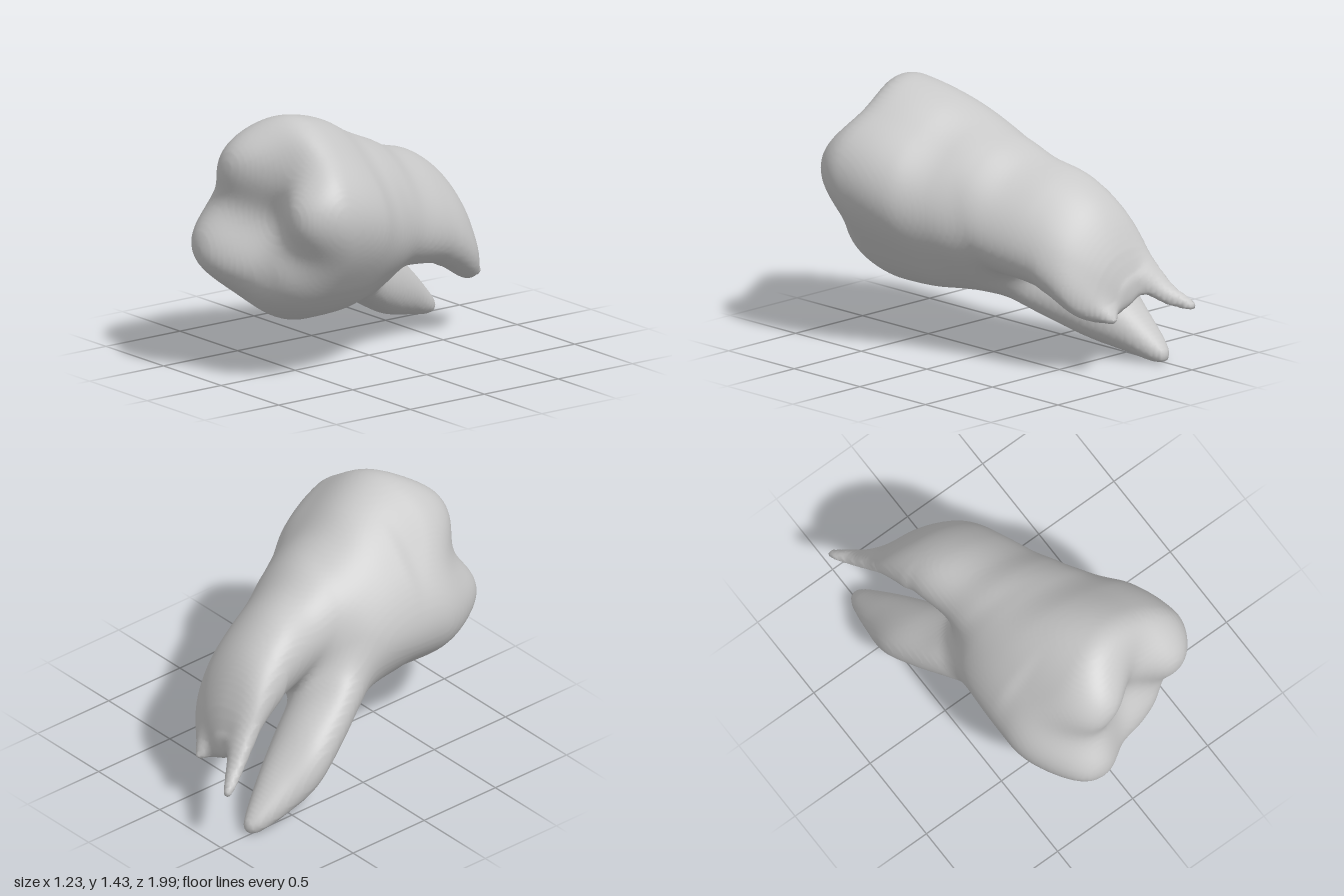
import * as THREE from 'three';

const STEP = 0.02;

// Cross-sections along z: [z, centre x, centre y, half-size a, half-size b]
const crownRows = [
  [1.1, 0.03, 0.865, 0.53, 0.45], [0.9, 0.04, 0.87, 0.545, 0.47], [0.6, 0.05, 0.875, 0.545, 0.48],
  [0.3, 0.015, 0.835, 0.48, 0.465], [0.1, -0.04, 0.775, 0.39, 0.4], [-0.05, -0.07, 0.71, 0.3, 0.31],
  [-0.2, -0.1, 0.67, 0.16, 0.16], [-0.3, -0.12, 0.68, 0.03, 0.03],
];
const broadRootRows = [
  [0.4, 0, 0.86, 0.42, 0.4], [0.1, -0.01, 0.85, 0.395, 0.36], [-0.05, -0.025, 0.835, 0.37, 0.31],
  [-0.2, -0.05, 0.795, 0.35, 0.26], [-0.4, -0.1, 0.745, 0.34, 0.235],
  [-0.55, -0.13, 0.67, 0.32, 0.215], [-0.65, -0.16, 0.59, 0.28, 0.19], [-0.74, -0.21, 0.49, 0.19, 0.14],
  [-0.785, -0.25, 0.44, 0.08, 0.06],
];
const shortTipRows = [
  [-0.5, 0, 0.57, 0.11, 0.11], [-0.65, -0.03, 0.45, 0.11, 0.11], [-0.75, -0.08, 0.37, 0.07, 0.065],
  [-0.8, -0.1, 0.33, 0.04, 0.035], [-0.825, -0.1, 0.315, 0.012, 0.012],
];
const longTipRows = [
  [-0.5, -0.29, 0.75, 0.1, 0.12], [-0.65, -0.33, 0.65, 0.1, 0.12], [-0.75, -0.38, 0.53, 0.085, 0.1],
  [-0.87, -0.45, 0.41, 0.058, 0.055], [-0.95, -0.505, 0.365, 0.038, 0.034], [-0.99, -0.53, 0.345, 0.022, 0.02],
];
const lowerRootRows = [
  [0.35, -0.11, 0.66, 0.28, 0.25], [0.15, -0.15, 0.61, 0.29, 0.25], [0, -0.23, 0.53, 0.28, 0.23],
  [-0.2, -0.34, 0.395, 0.25, 0.2], [-0.4, -0.42, 0.28, 0.21, 0.19], [-0.6, -0.46, 0.165, 0.13, 0.135],
  [-0.75, -0.485, 0.075, 0.07, 0.072], [-0.8, -0.49, 0.05, 0.038, 0.038], [-0.815, -0.49, 0.045, 0.015, 0.015],
];

// Smoothly interpolated cross-section at z (rows run from high z to low z)
function sectionAt(rows, z) {
  const last = rows.length - 1;
  const zc = Math.min(rows[0][0], Math.max(rows[last][0], z));
  let i = 0;
  while (i < last - 1 && zc < rows[i + 1][0]) i++;
  const slope = (j, k) => {
    const p = rows[Math.max(j - 1, 0)], q = rows[Math.min(j + 1, last)];
    return (q[k] - p[k]) / (q[0] - p[0]);
  };
  const A = rows[i], B = rows[i + 1], h = B[0] - A[0], t = (zc - A[0]) / h;
  const t2 = t * t, t3 = t2 * t;
  const val = (k) => (2 * t3 - 3 * t2 + 1) * A[k] + (t3 - 2 * t2 + t) * h * slope(i, k)
    + (3 * t2 - 2 * t3) * B[k] + (t3 - t2) * h * slope(i + 1, k);
  return { x: val(1), y: val(2), a: Math.max(val(3), 0.008), b: Math.max(val(4), 0.008), dz: Math.abs(z - zc) };
}

// A limb returns, for each z, a signed distance-like function of x and y
function limb(rows, degrees, power) {
  const c = Math.cos(degrees * Math.PI / 180), s = Math.sin(degrees * Math.PI / 180);
  return (z) => {
    const o = sectionAt(rows, z), m = Math.min(o.a, o.b);
    return (x, y) => {
      const dx = x - o.x, dy = y - o.y;
      const u = Math.abs(dx * c + dy * s) / o.a, v = Math.abs(dy * c - dx * s) / o.b;
      const d = (Math.pow(Math.pow(u, power) + Math.pow(v, power), 1 / power) - 1) * m;
      return o.dz > 0 ? Math.hypot(Math.max(d, 0), o.dz) : d;
    };
  };
}

const smoothMin = (a, b, k) => {
  const h = Math.max(k - Math.abs(a - b), 0) / k;
  return Math.min(a, b) - h * h * k / 4;
};

// Chewing surface: rounded cusps around a pit: [x, y, height, spread]
const cusps = [
  [-0.21, 0.72, 0.31, 0.25], [-0.1, 1.19, 0.22, 0.25], [0.44, 0.98, 0.15, 0.22],
  [0.22, 0.59, 0.14, 0.22], [-0.03, 0.46, 0.06, 0.2],
];
const chewing = (x, y) => cusps.reduce((h, [cx, cy, height, r]) =>
  h + height * Math.exp(-Math.pow(((x - cx) ** 2 + (y - cy) ** 2) / (r * r), 1.2)), 0.685);

// Surface net over a signed field given slice by slice
function surfaceNet(slice, min, max) {
  const n = min.map((v, i) => Math.ceil((max[i] - v) / STEP) + 1);
  const stride = [1, n[0], n[0] * n[1]];
  const f = new Float32Array(n[0] * n[1] * n[2]);
  for (let k = 0; k < n[2]; k++) {
    const at = slice(min[2] + k * STEP);
    for (let j = 0; j < n[1]; j++) for (let i = 0; i < n[0]; i++)
      f[i + j * stride[1] + k * stride[2]] = at(min[0] + i * STEP, min[1] + j * STEP);
  }
  const ids = new Int32Array(f.length).fill(-1), pos = [], index = [];
  const eachCell = (first, fn) => {
    for (let k = first; k < n[2] - 1; k++) for (let j = first; j < n[1] - 1; j++)
      for (let i = first; i < n[0] - 1; i++) fn([i, j, k], i + j * stride[1] + k * stride[2]);
  };
  // One vertex per crossed cell, at the mean of its edge crossings
  eachCell(0, (cell, p) => {
    const sum = [0, 0, 0];
    let count = 0;
    for (let c = 0; c < 8; c++) for (let d = 0; d < 3; d++) {
      if (c >> d & 1) continue;
      const o = [c & 1, c >> 1 & 1, c >> 2 & 1];
      const q = p + o[0] + o[1] * stride[1] + o[2] * stride[2];
      const a = f[q], b = f[q + stride[d]];
      if (a < 0 === b < 0) continue;
      o[d] += a / (a - b);
      for (let e = 0; e < 3; e++) sum[e] += o[e];
      count++;
    }
    if (!count) return;
    ids[p] = pos.length / 3;
    for (let e = 0; e < 3; e++) pos.push(min[e] + (cell[e] + sum[e] / count) * STEP);
  });
  // One quad around each crossed edge
  eachCell(1, (cell, p) => {
    for (let d = 0; d < 3; d++) {
      const inside = f[p] < 0;
      if (inside === f[p + stride[d]] < 0) continue;
      const u = stride[(d + 1) % 3], v = stride[(d + 2) % 3];
      const q = [ids[p - u - v], ids[p - v], ids[p], ids[p - u]];
      if (!inside) q.reverse();
      index.push(q[0], q[1], q[2], q[0], q[2], q[3]);
    }
  });
  const g = new THREE.BufferGeometry();
  g.setAttribute('position', new THREE.Float32BufferAttribute(pos, 3));
  g.setIndex(index);
  g.computeVertexNormals();
  return g;
}

export function createModel() {
  const enamel = new THREE.MeshStandardMaterial({ color: 0xc8c8c8 });
  enamel.name = 'paleGrey';

  const crown = limb(crownRows, 52, 2.75);
  const roots = [limb(broadRootRows, -43, 2.1), limb(shortTipRows, 0, 2), limb(longTipRows, 0, 2), limb(lowerRootRows, -35, 2)];

  // Crown cut by the chewing surface, then blended with the roots
  const slice = (z) => {
    const body = crown(z), limbs = roots.map((r) => r(z));
    return (x, y) => {
      let d = body(x, y);
      if (z > 0.3) d = -smoothMin(-d, chewing(x, y) - z, 0.2);
      for (const l of limbs) d = smoothMin(d, l(x, y), 0.09);
      return d;
    };
  };

  const tooth = new THREE.Mesh(surfaceNet(slice, [-0.75, -0.1, -1.1], [0.75, 1.6, 1.1]), enamel);
  tooth.name = 'crownAndRoots';
  const group = new THREE.Group();
  group.name = 'molar';
  group.add(tooth);
  return group;
}
